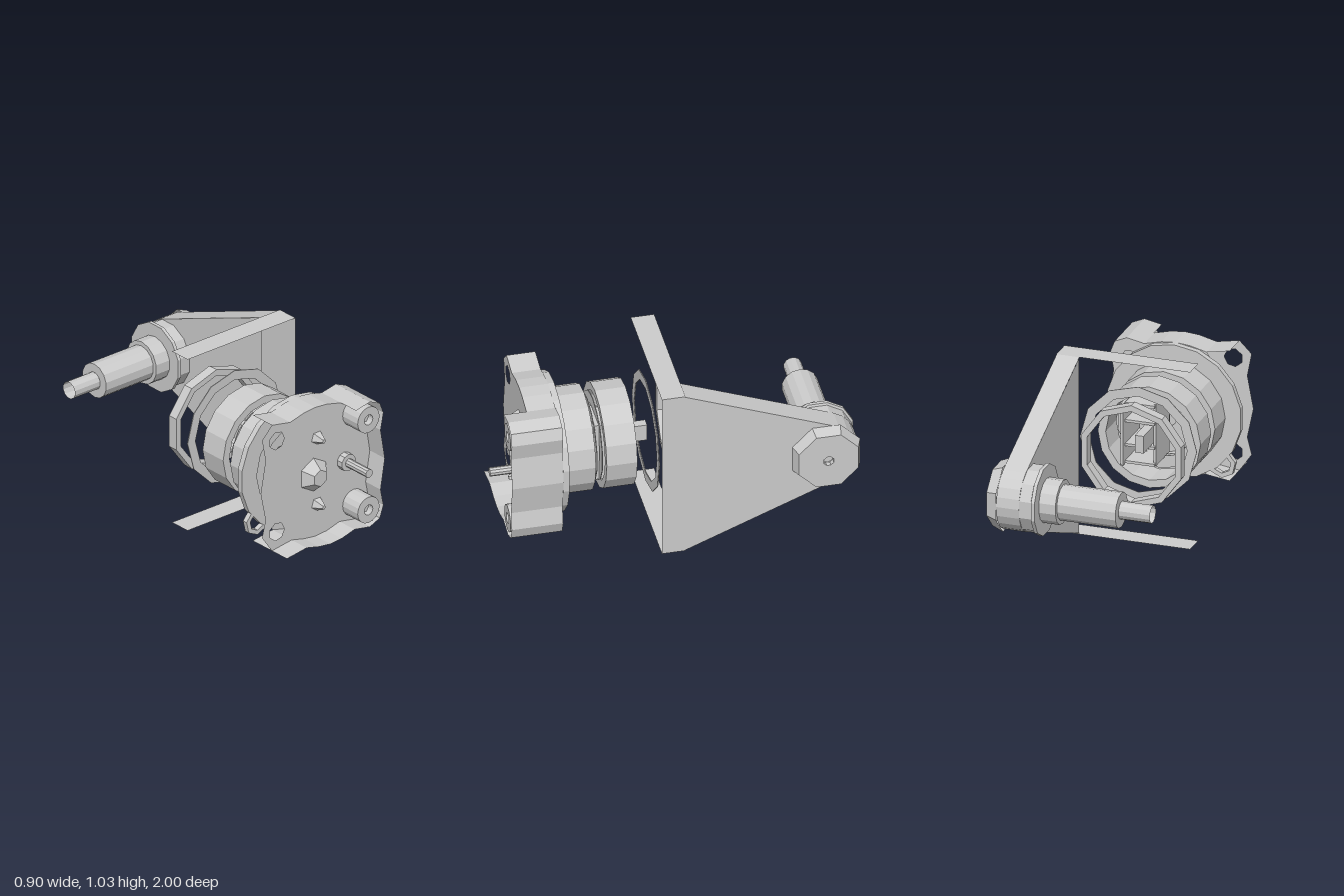
import * as THREE from 'three';

const CX = -0.063, CY = 0.52; // motor axis
const BZ = -0.81;             // rear pivot axis
const mat = new THREE.MeshStandardMaterial({ color: 0xcccccc, flatShading: true, side: THREE.DoubleSide });

export function createModel() {
  const model = new THREE.Group();

  const add = (name, geo, x = 0, y = 0, z = 0) => {
    const m = new THREE.Mesh(geo, mat);
    m.name = name;
    m.position.set(x, y, z);
    model.add(m);
    return m;
  };
  // Closed tube of rectangular section along z
  const ring = (name, ro, ri, z0, z1, sides, x = CX, y = CY) => {
    const p = [[ri, z0], [ro, z0], [ro, z1], [ri, z1], [ri, z0]].map(a => new THREE.Vector2(...a));
    return add(name, new THREE.LatheGeometry(p, sides).rotateX(Math.PI / 2), x, y, 0);
  };
  // Solid of revolution along x around the rear pivot; profile is [radius, x]
  const pivot = (name, profile, sides) => {
    const p = profile.map(a => new THREE.Vector2(...a));
    return add(name, new THREE.LatheGeometry(p, sides, Math.PI / sides).rotateZ(-Math.PI / 2), 0, CY, BZ);
  };
  // Thin wall following 2D points, spanning d0..d1 in depth
  const wallGeometry = (pts, d0, d1) => {
    const pos = [], idx = [];
    pts.forEach(([a, b], i) => {
      pos.push(a, b, d0, a, b, d1);
      if (i) { const k = 2 * i; idx.push(k - 2, k, k - 1, k - 1, k, k + 1); }
    });
    const g = new THREE.BufferGeometry();
    g.setAttribute('position', new THREE.Float32BufferAttribute(pos, 3));
    g.setIndex(idx);
    g.computeVertexNormals();
    return g;
  };
  const shapeOf = pts => new THREE.Shape(pts.map(a => new THREE.Vector2(...a)));
  const polyHole = (x, y, r, n) => {
    const pts = [];
    for (let i = 0; i < n; i++) {
      const t = -i / n * Math.PI * 2;
      pts.push(new THREE.Vector2(x + r * Math.cos(t), y + r * Math.sin(t)));
    }
    return new THREE.Path(pts);
  };

  // ---- Bracket: triangular arm (drawn in z,y) and two flange strips
  const arc = [];
  for (let i = 0; i <= 8; i++) {
    const t = THREE.MathUtils.degToRad(112 + i * 17);
    arc.push([BZ + 0.187 * Math.cos(t), CY + 0.187 * Math.sin(t)]);
  }
  const edge = [[-0.02, 1.035], ...arc, [-0.02, 0]];
  const outer = [[0.1, 1.035], ...edge, [0.1, 0]];
  const inner = [[-0.03, 1.03], ...edge.slice(1, -1), [-0.03, 0.005]];
  const side = g => g.rotateY(-Math.PI / 2); // shape x becomes z, depth becomes -x
  add('armOuterFace', side(new THREE.ShapeGeometry(shapeOf(outer))), 0.387);
  add('armInnerFace', side(new THREE.ShapeGeometry(shapeOf(inner))), 0.257);
  add('armEdge', side(wallGeometry(outer, -0.387, -0.257)));
  for (const y of [0.0, 1.035]) {
    add('bracketFlange', new THREE.PlaneGeometry(0.767, 0.13).rotateX(-Math.PI / 2), 0.0035, y, 0.035);
  }

  // ---- Rear pivot: head on both sides of the arm, collar, shaft and open tip
  pivot('pivotHead', [[0.03, 0.42], [0.03, 0.45], [0.178, 0.45], [0.203, 0.387]], 8);
  pivot('pivotInnerHead', [[0.187, 0.257], [0.187, 0.19], [0.2, 0.185], [0.2, 0.165], [0.1, 0.165]], 12);
  pivot('pivotSocket', [[0, 0.42], [0.03, 0.42]], 6);
  pivot('pivotCollar', [[0.125, 0.165], [0.125, 0.07], [0.1, 0.07]], 14);
  pivot('pivotShaft', [[0.1, 0.07], [0.1, -0.265], [0.05, -0.265]], 14);
  pivot('pivotTip', [[0.05, -0.265], [0.05, -0.445]], 12);

  // ---- Motor rings, from the back forwards
  ring('rearRing', 0.3, 0.265, -0.09, -0.03, 10);
  ring('mountRing', 0.335, 0.28, 0.09, 0.095, 12, -0.04);
  ring('rearDrum', 0.295, 0.25, 0.2, 0.37, 16);
  for (const z of [0.38, 0.41]) ring('gapDisc', 0.25, 0.18, z, z + 0.004, 14);
  ring('frontDrum', 0.295, 0.2, 0.43, 0.6, 16);
  ring('drumFloor', 0.24, 0.05, 0.5, 0.51, 14);
  ring('flangeRing', 0.387, 0.28, 0.595, 0.63, 18);
  ring('flangeEar', 0.08, 0.053, 0.6, 0.63, 7, -0.335, 0.245);

  // Core rod with a frame of upright plates and cross bars inside the drums
  add('coreRod', new THREE.BoxGeometry(0.05, 0.1, 0.42), -0.045, CY, 0.3);
  add('corePlate', new THREE.BoxGeometry(0.015, 0.36, 0.27), 0.09, CY, 0.325);
  add('corePlate', new THREE.BoxGeometry(0.015, 0.36, 0.22), -0.08, CY, 0.35);
  for (const y of [0.35, 0.45, 0.59, 0.69]) {
    add('coreBar', new THREE.BoxGeometry(0.18, 0.015, 0.23), 0.005, y, 0.335);
  }

  // ---- Gearbox: thin front plate with lobed outline, partial side walls and back plate
  const outline = [[-0.37, 0.9], [-0.24, 0.875], [-0.14, 0.9], [-0.06, 0.907], [0.02, 0.9], [0.12, 0.875],
    [0.22, 0.895], [0.29, 0.865], [0.315, 0.8], [0.295, 0.7], [0.325, 0.52], [0.295, 0.34], [0.315, 0.24],
    [0.29, 0.17], [0.22, 0.14], [0.11, 0.16], [0.02, 0.135], [-0.06, 0.128], [-0.14, 0.138], [-0.23, 0.16],
    [-0.37, 0.14], [-0.44, 0.24], [-0.415, 0.34], [-0.45, 0.51], [-0.415, 0.7], [-0.44, 0.83]];
  const plate = shapeOf(outline);
  plate.holes.push(polyHole(-0.335, 0.795, 0.053, 7), polyHole(-0.335, 0.245, 0.053, 7));
  add('frontPlate', new THREE.ShapeGeometry(plate), 0, 0, 0.79);
  const back = shapeOf([...outline.slice(1, 20), [-0.345, 0.34], [-0.365, 0.52], [-0.345, 0.7]]);
  back.holes.push(polyHole(CX, CY, 0.28, 14), polyHole(0.21, 0.79, 0.035, 6), polyHole(0.21, 0.245, 0.035, 6));
  add('backPlate', new THREE.ShapeGeometry(back), 0, 0, 0.631);
  add('bodyWall', wallGeometry(outline.slice(0, 21), 0.63, 0.79));
  add('raisedWall', wallGeometry(outline.slice(5, 21), 0.79, 0.915));

  // Raised screws on the model's left side
  for (const y of [0.79, 0.245]) {
    ring('screwHead', 0.078, 0.03, 0.79, 0.915, 16, 0.21, y);
    add('screwSocket', new THREE.CircleGeometry(0.03, 6), 0.21, y, 0.88);
  }

  // Output shaft with its collar
  ring('shaftCollar', 0.05, 0.025, 0.79, 0.83, 10, 0.142, CY);
  add('outputShaft', new THREE.CylinderGeometry(0.025, 0.025, 0.21, 10).rotateX(Math.PI / 2), 0.142, CY, 0.895);

  // Centre boss and the two small studs
  add('centreBoss', new THREE.CylinderGeometry(0.05, 0.1, 0.06, 6).rotateX(Math.PI / 2), -0.075, 0.505, 0.82);
  for (const y of [0.72, 0.32]) {
    add('stud', new THREE.CylinderGeometry(0.012, 0.04, 0.06, 5).rotateX(Math.PI / 2), -0.05, y, 0.82);
  }
  return model;
}
